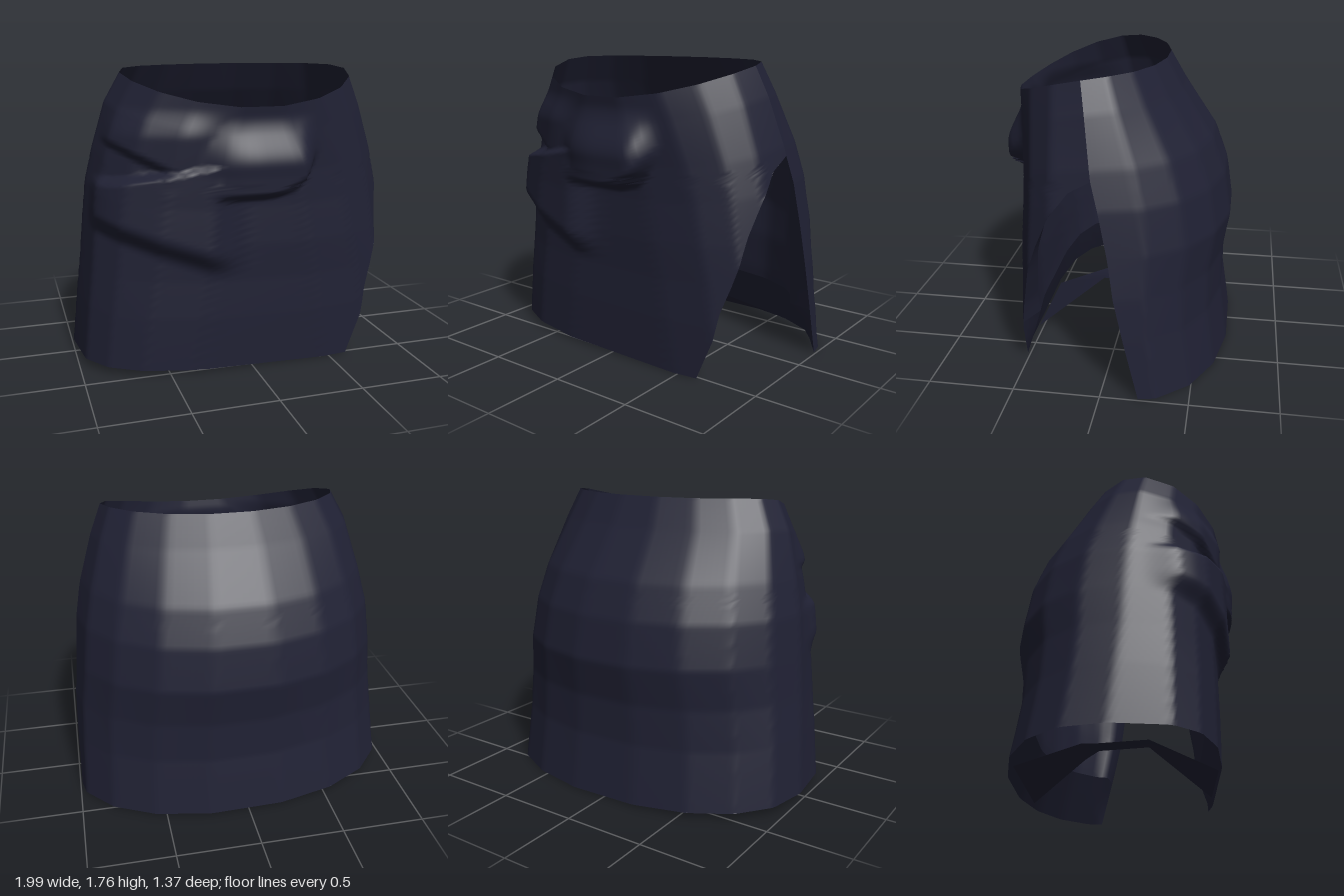
import * as THREE from 'three';

const navy = new THREE.MeshStandardMaterial({ color: 0x202134, side: THREE.DoubleSide });
navy.name = 'dark navy cloth';

const { lerp, degToRad } = THREE.MathUtils;
const step = (a, b, v) => THREE.MathUtils.smoothstep(v, a, b);

// Cross-sections from hem (0) to waist (1): t, right x, left x, back z, front z, widest z
const SECTIONS = [
  [0, -1.0, 1.02, -0.69, 0.54, -0.07],
  [0.2, -0.97, 1.005, -0.64, 0.55, -0.03],
  [0.34, -0.945, 0.99, -0.64, 0.55, 0],
  [0.475, -0.925, 0.96, -0.68, 0.56, 0.01],
  [0.62, -0.9, 0.93, -0.64, 0.56, 0.03],
  [0.74, -0.855, 0.885, -0.56, 0.57, 0.06],
  [0.9, -0.78, 0.8, -0.37, 0.6, 0.1],
  [1, -0.69, 0.73, -0.27, 0.625, 0.13],
];
// Slit edge in front, as t and degrees around the body
const SLIT = [[0, 69], [0.25, 54], [0.5, 32], [0.6, 21], [0.68, 11], [0.71, 0], [1, 0]];
// Height of the fold line in the lining
const FOLD = 0.17;
// Width of the lining relative to the skirt, by t; it folds out to meet the hem
const LINING = [[0, 1], [FOLD, 0.86], [0.5, 0.91], [0.72, 0.99]];

// Linear lookup in a table whose first column is t
function lookup(table, t) {
  let i = 0;
  while (i < table.length - 2 && t > table[i + 1][0]) i++;
  const a = table[i], b = table[i + 1];
  const k = (t - a[0]) / (b[0] - a[0]);
  return a.slice(1).map((v, n) => lerp(v, b[n + 1], k));
}

// Point on the rounded section at an angle and height
function sectionPoint(angle, t, scale) {
  const [right, left, back, front, zc] = lookup(SECTIONS, t);
  const c = Math.cos(angle), s = Math.sin(angle);
  const squareness = s > 0 ? (c > 0 ? 4.4 : 3.3) : 2.3;
  const e = 2 / lerp(squareness, 2, t);
  const x = (right + left) / 2 + scale * Math.sign(c) * Math.abs(c) ** e * (left - right) / 2;
  const z = zc + scale * Math.sign(s) * Math.abs(s) ** e * (s > 0 ? front - zc : zc - back);
  const hem = 0.012 + 0.05 * Math.max(0, -x);
  const waist = 1.772 - 0.37 * Math.max(0, z + 0.1) ** 2;
  return new THREE.Vector3(x, lerp(hem, waist, t), z);
}

// Same, on an 18-sided outline
function bodyPoint(angle, t, scale = 1) {
  const side = Math.PI / 9;
  const n = Math.floor(angle / side + 1e-6);
  return sectionPoint(n * side, t, scale)
    .lerp(sectionPoint((n + 1) * side, t, scale), angle / side - n);
}

// Angle at u along the cloth, from the front slit edge round to the back one
function wrapAngle(u, t) {
  const end = Math.PI * 2 - degToRad(12) * Math.max(0, 1 - t / 0.71);
  return lerp(degToRad(lookup(SLIT, t)[0]), end, u);
}

// Depth of the gathered folds on the front
function foldDepth(x, y) {
  // cowl hanging at the centre
  const cowlEdge = 1.04 + 0.25 * (Math.max(0, x - 0.1) / 0.28) ** 2;
  const cowl = 0.118 * step(cowlEdge, cowlEdge + 0.06, y) * (1 - step(1.24, 1.54, y))
    * (1 - step(0.24, 0.4, x)) * step(-0.5, 0, x);
  // lower swag sweeping to the right side
  const swagEdge = 0.55 - 0.37 * (x + 0.1);
  const topEdge = 1.13 + 0.2 * Math.max(0, x + 0.8);
  const swag = 0.075 * step(swagEdge, swagEdge + 0.15, y) * (1 - step(topEdge, topEdge + 0.05, y))
    * (1 - step(-0.25, -0.08, x));
  // upper pleat above the pocket-like tuck
  const pleatEdge = 1.3 - 0.5 * (x + 0.7);
  const pleat = 0.045 * step(pleatEdge, pleatEdge + 0.05, y) * (1 - step(1.4, 1.58, y))
    * (1 - step(-0.4, -0.1, x));
  return Math.max(cowl, swag, pleat);
}

// Sheet of cloth from a rule giving a point at (u, v)
function sheet(name, cols, rows, rule) {
  const pos = [], index = [];
  for (let j = 0; j <= rows; j++) {
    for (let i = 0; i <= cols; i++) pos.push(...rule(i / cols, j / rows).toArray());
  }
  for (let j = 0; j < rows; j++) {
    for (let i = 0; i < cols; i++) {
      const a = j * (cols + 1) + i, b = a + 1, c = a + cols + 1, d = c + 1;
      index.push(a, c, b, b, c, d);
    }
  }
  const geo = new THREE.BufferGeometry();
  geo.setAttribute('position', new THREE.Float32BufferAttribute(pos, 3));
  geo.setIndex(index);
  geo.computeVertexNormals();
  const mesh = new THREE.Mesh(geo, navy);
  mesh.name = name;
  return mesh;
}

export function createModel() {
  const group = new THREE.Group();
  group.name = 'wrapSkirt';

  // Outer skirt, open along the slit on its left side
  group.add(sheet('skirt', 140, 90, (u, t) => {
    const p = bodyPoint(wrapAngle(u, t), t);
    if (p.z > 0) {
      const d = foldDepth(p.x, p.y) * step(0.1, 0.35, p.z);
      p.x += d * 0.5 * p.x;
      p.z += d;
    }
    return p;
  }));

  // Lining in two bands, turned out to the skirt at the hem and both slit edges
  for (const [name, low, high, rows] of [['liningHem', 0, FOLD, 4], ['lining', FOLD, 0.72, 28]]) {
    group.add(sheet(name, 72, rows, (u, v) => {
      const t = lerp(low, high, v);
      const atSlit = u === 0 || u === 1;
      return bodyPoint(wrapAngle(u, t), t, atSlit ? 1 : lookup(LINING, t)[0]);
    }));
  }

  // Arched crotch strip spreading to the front and back hems: z, y, right x, left x
  const strip = [
    [0.52, 0.03, -0.28, 0.32], [0.13, 0.29, -0.06, 0.09], [-0.18, 0.27, -0.06, 0.09],
    [-0.27, 0.24, -0.15, 0.17], [-0.62, 0.03, -0.4, 0.43],
  ];
  group.add(sheet('crotchStrip', 1, 4, (u, v) => {
    const [z, y, right, left] = strip[Math.round(v * 4)];
    return new THREE.Vector3(lerp(left, right, u), y, z);
  }));

  return group;
}
